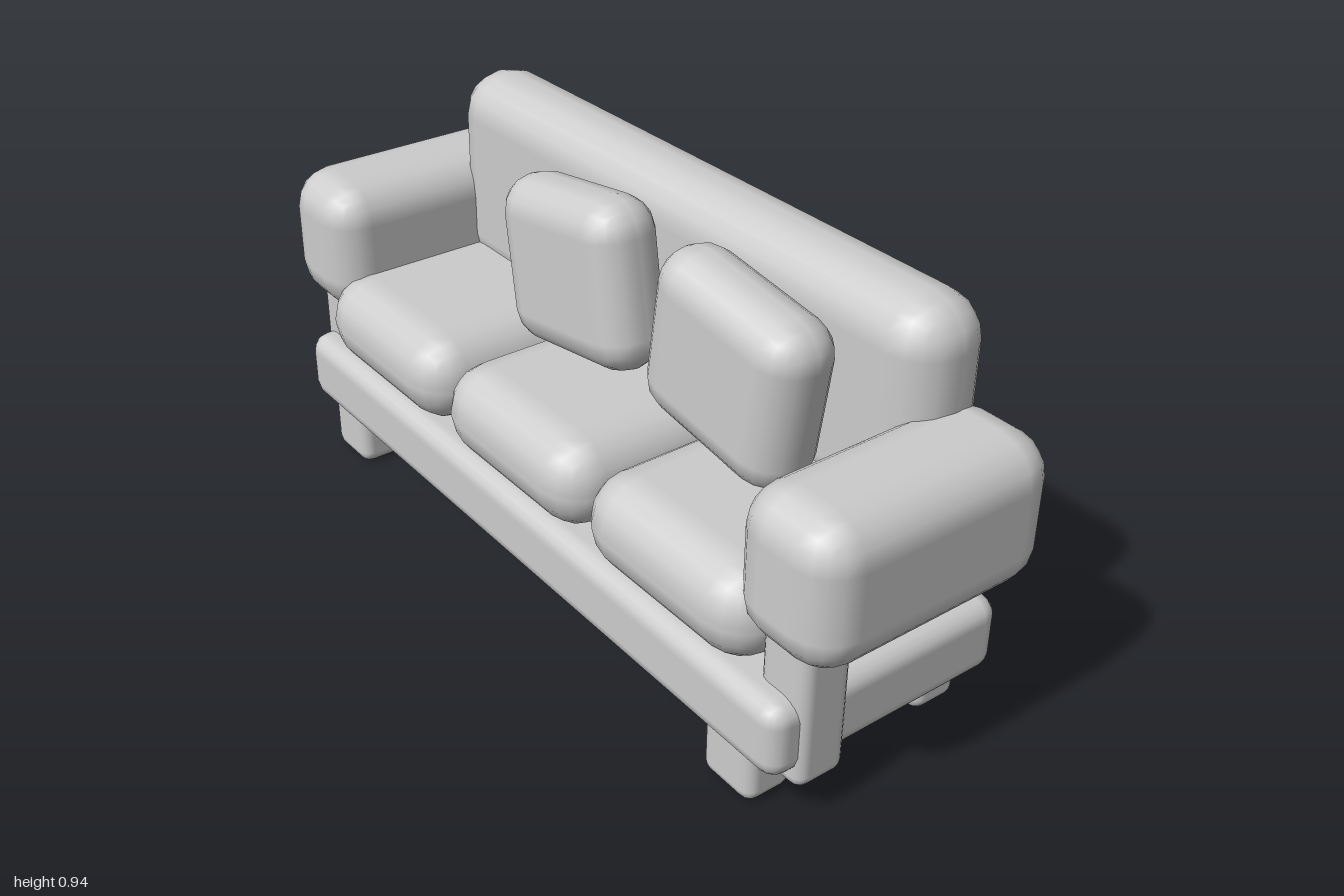
import * as THREE from 'three';
import { RoundedBoxGeometry } from 'three/addons/geometries/RoundedBoxGeometry.js';

export function createModel() {
  const sofa = new THREE.Group();
  sofa.name = 'sofa';
  const fabric = new THREE.MeshStandardMaterial({ color: 0xcccccc });
  fabric.name = 'light grey';

  // Soft block between two extents on each axis
  function block(name, [x0, x1], [y0, y1], [z0, z1], radius, tilt = 0) {
    const geometry = new RoundedBoxGeometry(x1 - x0, y1 - y0, z1 - z0, 2, radius);
    const mesh = new THREE.Mesh(geometry, fabric);
    mesh.name = name;
    mesh.position.set((x0 + x1) / 2, (y0 + y1) / 2, (z0 + z1) / 2);
    mesh.rotation.z = tilt;
    sofa.add(mesh);
  }

  // The same block on both sides
  function pair(name, [x0, x1], y, z, radius) {
    block('left' + name, [x0, x1], y, z, radius);
    block('right' + name, [-x1, -x0], y, z, radius);
  }

  // Frame and backrest
  block('base', [-0.91, 0.91], [0.12, 0.297], [-0.3, 0.31], 0.045);
  block('backrest', [-0.815, 0.815], [0.43, 0.945], [-0.313, -0.095], 0.104);

  // Legs, arm posts and armrests
  pair('FrontLeg', [0.68, 0.83], [0, 0.16], [0.173, 0.292], 0.03);
  pair('BackLeg', [0.68, 0.83], [0, 0.16], [-0.284, -0.163], 0.03);
  pair('ArmPost', [0.79, 0.922], [0.083, 0.46], [0.124, 0.25], 0.03);
  pair('Armrest', [0.725, 1], [0.387, 0.724], [-0.315, 0.29], 0.095);

  // Three seat cushions
  for (let i = -1; i <= 1; i++) {
    const x = i * 0.54;
    block('seatCushion', [x - 0.265, x + 0.265], [0.29, 0.512], [-0.215, 0.318], 0.105);
  }

  // Two tilted throw pillows
  block('throwPillow', [-0.35, 0.09], [0.5, 0.9], [-0.098, 0.083], 0.085, 0.16);
  block('throwPillow', [0.18, 0.62], [0.5, 0.9], [-0.098, 0.083], 0.085, -0.14);

  return sofa;
}
